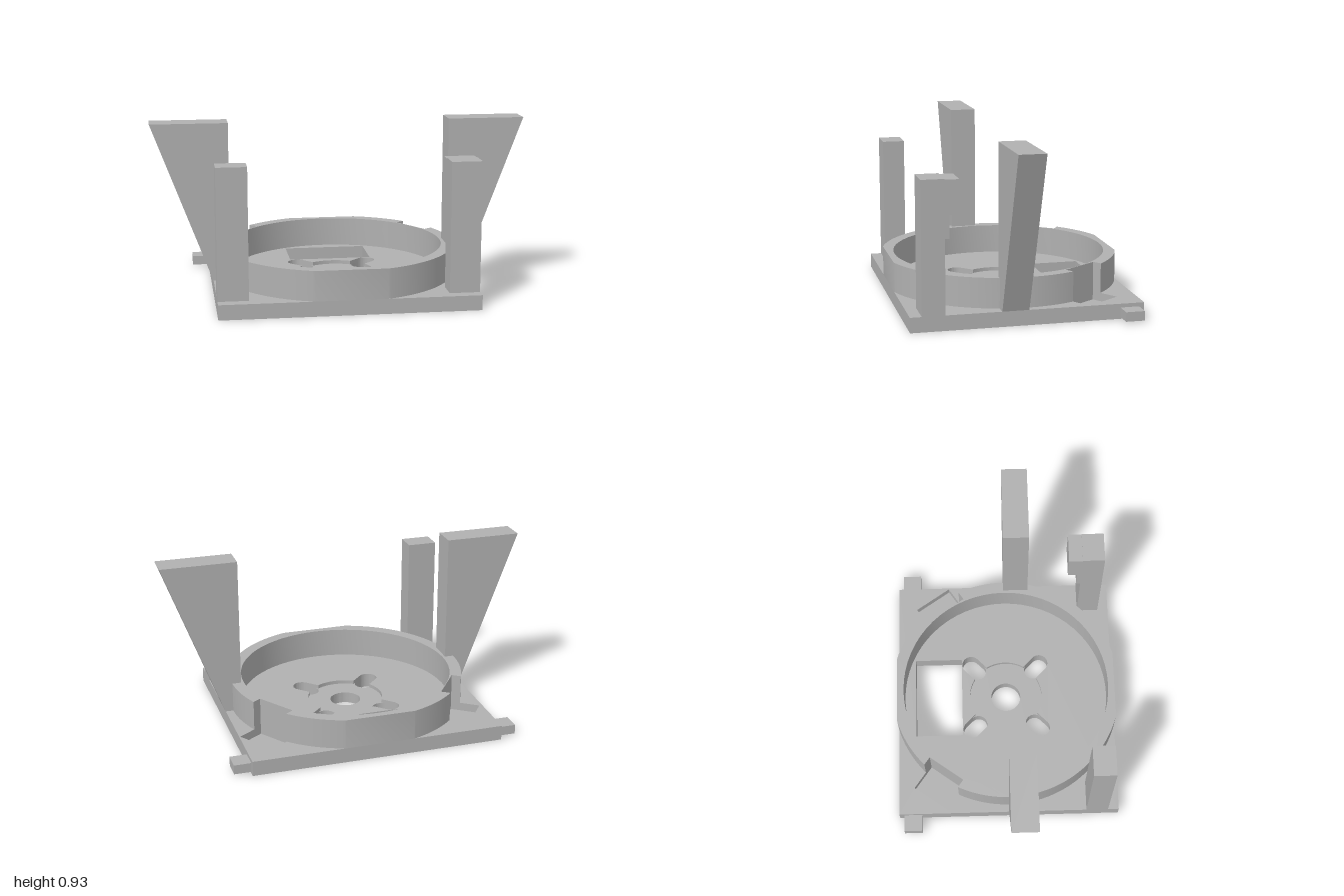
import * as THREE from 'three';
import { toCreasedNormals } from 'three/addons/utils/BufferGeometryUtils.js';

const RAD = Math.PI / 180;
const HALF_W = 0.68, HALF_D = 0.61;
const RING_OUT = 0.638, RING_IN = 0.575;
const NOTCH_FACE = 0.577, NOTCH_END = 0.737, NOTCH_HALF = 0.113;
const NOTCH_ANGLES = [34 * RAD, 144 * RAD];

export function createModel() {
  const group = new THREE.Group();
  const grey = new THREE.MeshStandardMaterial({ color: 0xb0b0b0 });
  grey.name = 'plain grey';

  const add = (name, geometry) => {
    const mesh = new THREE.Mesh(geometry, grey);
    mesh.name = name;
    group.add(mesh);
    return mesh;
  };
  const box = (name, x0, x1, y0, y1, z0, z1) =>
    add(name, new THREE.BoxGeometry(x1 - x0, y1 - y0, z1 - z0))
      .position.set((x0 + x1) / 2, (y0 + y1) / 2, (z0 + z1) / 2);
  // Plan shapes use (x, -z) and rise from y0 to y1
  const slab = (name, shape, y0, y1) => {
    const g = new THREE.ExtrudeGeometry(shape, { depth: y1 - y0, bevelEnabled: false, curveSegments: 32 });
    g.rotateX(-Math.PI / 2).translate(0, y0, 0);
    add(name, toCreasedNormals(g, 25 * RAD));
  };
  const rect = (Type, x0, x1, y0, y1) => new Type([[x0, y0], [x1, y0], [x1, y1], [x0, y1]]
    .map(([x, y]) => new THREE.Vector2(x, y)));
  const circle = (r) => new THREE.Path().absarc(0, 0, r, 0, Math.PI * 2);
  // Point at distance n along a direction and t across it
  const polar = (a, n, t) => new THREE.Vector2(
    n * Math.cos(a) - t * Math.sin(a), n * Math.sin(a) + t * Math.cos(a));

  // Diagonal screw slots, also used to outline the centre recess
  const SLOT_R = 0.05, SLOT_IN = 0.226, SLOT_OUT = 0.276, RECESS = 0.205;
  const diagonals = [0, 1, 2, 3].map((i) => (45 + 90 * i) * RAD);
  const slots = () => diagonals.map((a) => {
    const p = polar(a, SLOT_OUT, 0), q = polar(a, SLOT_IN, 0);
    return new THREE.Path()
      .absarc(p.x, p.y, SLOT_R, a - Math.PI / 2, a + Math.PI / 2)
      .absarc(q.x, q.y, SLOT_R, a + Math.PI / 2, a + Math.PI * 1.5);
  });
  const recessOutline = () => {
    const path = new THREE.Path(), d = Math.asin(SLOT_R / RECESS);
    for (const a of diagonals) {
      const p = polar(a, SLOT_OUT, 0);
      path.absarc(0, 0, RECESS, a - Math.PI / 2 + d, a - d);
      path.absarc(p.x, p.y, SLOT_R, a - Math.PI / 2, a + Math.PI / 2);
    }
    return path;
  };
  const pockets = () => NOTCH_ANGLES.map((a) => new THREE.Path([
    polar(a, NOTCH_FACE, -NOTCH_HALF), polar(a, NOTCH_END, -NOTCH_HALF),
    polar(a, NOTCH_END, NOTCH_HALF), polar(a, NOTCH_FACE, NOTCH_HALF)]));

  // Base plate in three layers: floor, pocket depth, recess depth
  const plate = (y0, y1, holes) => {
    const s = rect(THREE.Shape, -HALF_W, HALF_W, -HALF_D, HALF_D);
    s.holes.push(rect(THREE.Path, -0.228, 0.228, 0.249, 0.513), ...holes);
    slab('basePlate', s, y0, y1);
  };
  plate(0, 0.035, [circle(0.083), ...slots()]);
  plate(0.035, 0.06, [circle(0.083), ...slots(), ...pockets()]);
  plate(0.06, 0.08, [recessOutline(), ...pockets()]);

  // Ring wall, trimmed flush with the plate and notched at the back
  const clip = Math.asin(HALF_D / RING_OUT), d = Math.asin(NOTCH_HALF / RING_OUT);
  const ring = new THREE.Shape();
  NOTCH_ANGLES.forEach((a, i) => {
    const start = i ? Math.PI - clip : -clip, end = i ? Math.PI + clip : clip;
    ring.absarc(0, 0, RING_OUT, start, a - d);
    for (const t of [-NOTCH_HALF, NOTCH_HALF]) {
      const p = polar(a, NOTCH_FACE, t);
      ring.lineTo(p.x, p.y);
    }
    ring.absarc(0, 0, RING_OUT, a + d, end);
  });
  ring.holes.push(circle(RING_IN));
  slab('ringWall', ring, 0.08, 0.24);

  for (const s of [-1, 1]) {
    const side = s > 0 ? 'left' : 'right';
    const span = (a, b) => (s > 0 ? [a, b] : [-b, -a]);

    // Tall flared arm
    const arm = new THREE.Shape([[0.59, 0.07], [0.68, 0.07], [0.68, 0.08], [1, 0.93], [0.59, 0.93]]
      .map(([x, y]) => new THREE.Vector2(s * x, y)));
    add(side + 'FlaredArm', new THREE.ExtrudeGeometry(arm, { depth: 0.14, bevelEnabled: false }));

    // Front post and rear side tab
    box(side + 'FrontPost', ...span(0.52, 0.68), 0.07, 0.77, 0.43, 0.55);
    box(side + 'Tab', ...span(0.67, 0.77), 0.01, 0.06, -0.583, -0.483);
  }

  // Hooked head on the left post with its small rib
  box('postHead', 0.52, 0.68, 0.59, 0.766, 0.356, 0.432);
  box('postRib', 0.52, 0.68, 0.47, 0.592, 0.407, 0.432);

  return group;
}
